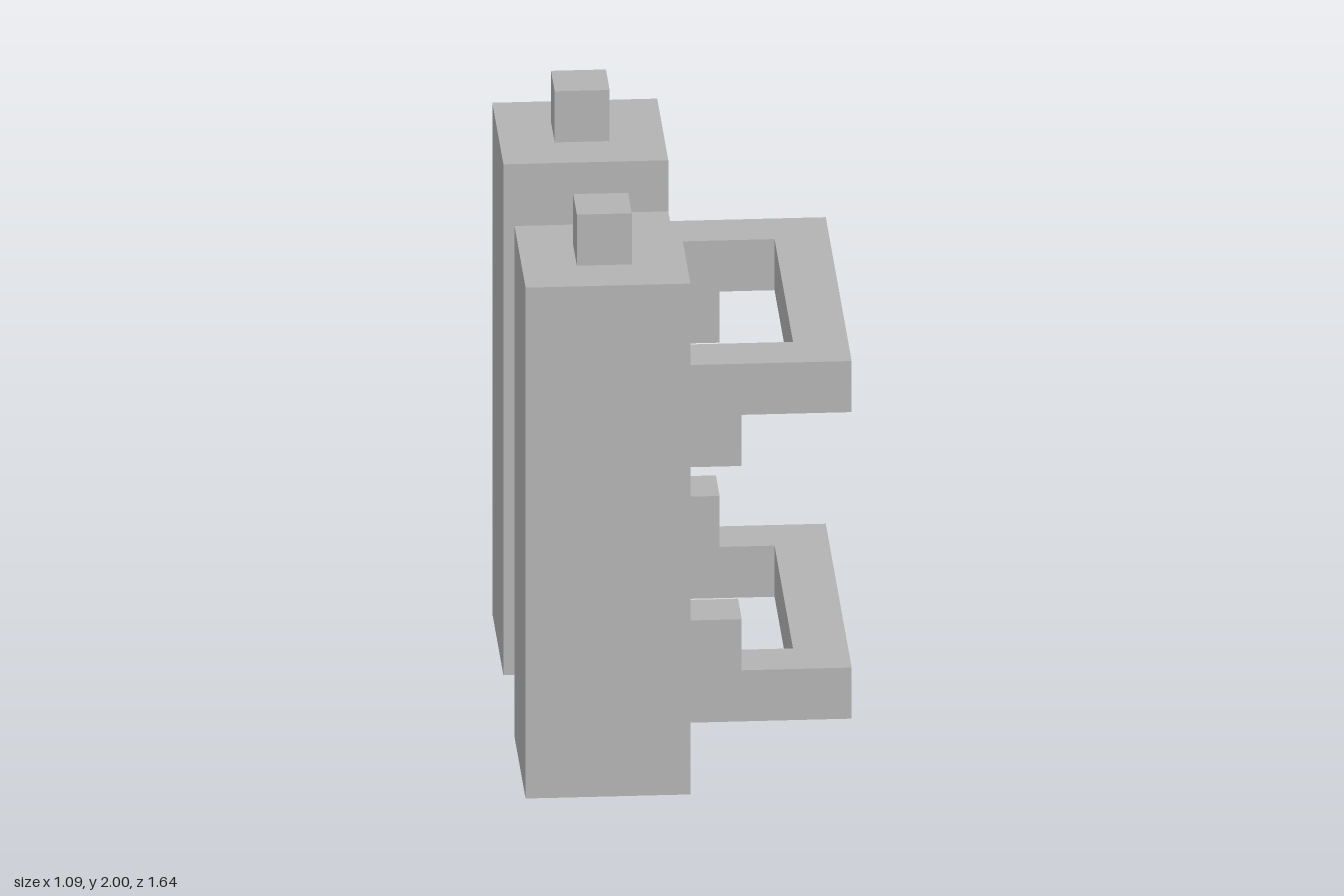
import * as THREE from 'three';

const U = 2 / 11; // modular unit: every part is a whole or half multiple of it

export function createModel() {
  const group = new THREE.Group();
  const grey = new THREE.MeshStandardMaterial({ color: 0xb2b2b2 });
  grey.name = 'grey';

  const add = (name, geometry) => {
    const mesh = new THREE.Mesh(geometry, grey);
    mesh.name = name;
    group.add(mesh);
    return mesh;
  };

  // Box from its minimum and maximum corners, in units
  const box = (name, [x0, y0, z0], [x1, y1, z1]) => {
    const mesh = add(name, new THREE.BoxGeometry((x1 - x0) * U, (y1 - y0) * U, (z1 - z0) * U));
    mesh.position.set((x0 + x1) / 2, (y0 + y1) / 2, (z0 + z1) / 2).multiplyScalar(U);
  };

  // Two square tanks, each with a small nozzle on top
  for (const [side, z] of [['front', 3], ['back', -3]]) {
    box(side + 'Tank', [-3, 0, z - 1.5], [0, 10, z + 1.5]);
    box(side + 'Nozzle', [-2, 10, z - 0.5], [-1, 11, z + 0.5]);
  }

  // Panel joining the tanks
  box('backPanel', [-1, 1, -1.5], [0, 9, 1.5]);

  // U-shaped straps, each with two stubs pointing towards the middle
  const outline = [[0, 3.5], [3, 3.5], [3, -3.5], [0, -3.5], [0, -2.5], [2, -2.5], [2, 2.5], [0, 2.5]];
  const strapShape = new THREE.Shape(outline.map(([x, z]) => new THREE.Vector2(x * U, z * U)));
  const strapGeometry = new THREE.ExtrudeGeometry(strapShape, { depth: U, bevelEnabled: false });
  strapGeometry.rotateX(-Math.PI / 2);

  for (const [level, y, stubY] of [['upper', 7, 6], ['lower', 1, 2]]) {
    add(level + 'Strap', strapGeometry).position.y = y * U;
    for (const [side, z] of [['Front', 3], ['Back', -3]]) {
      box(level + side + 'Stub', [0, stubY, z - 0.5], [1, stubY + 1, z + 0.5]);
    }
  }

  return group;
}
